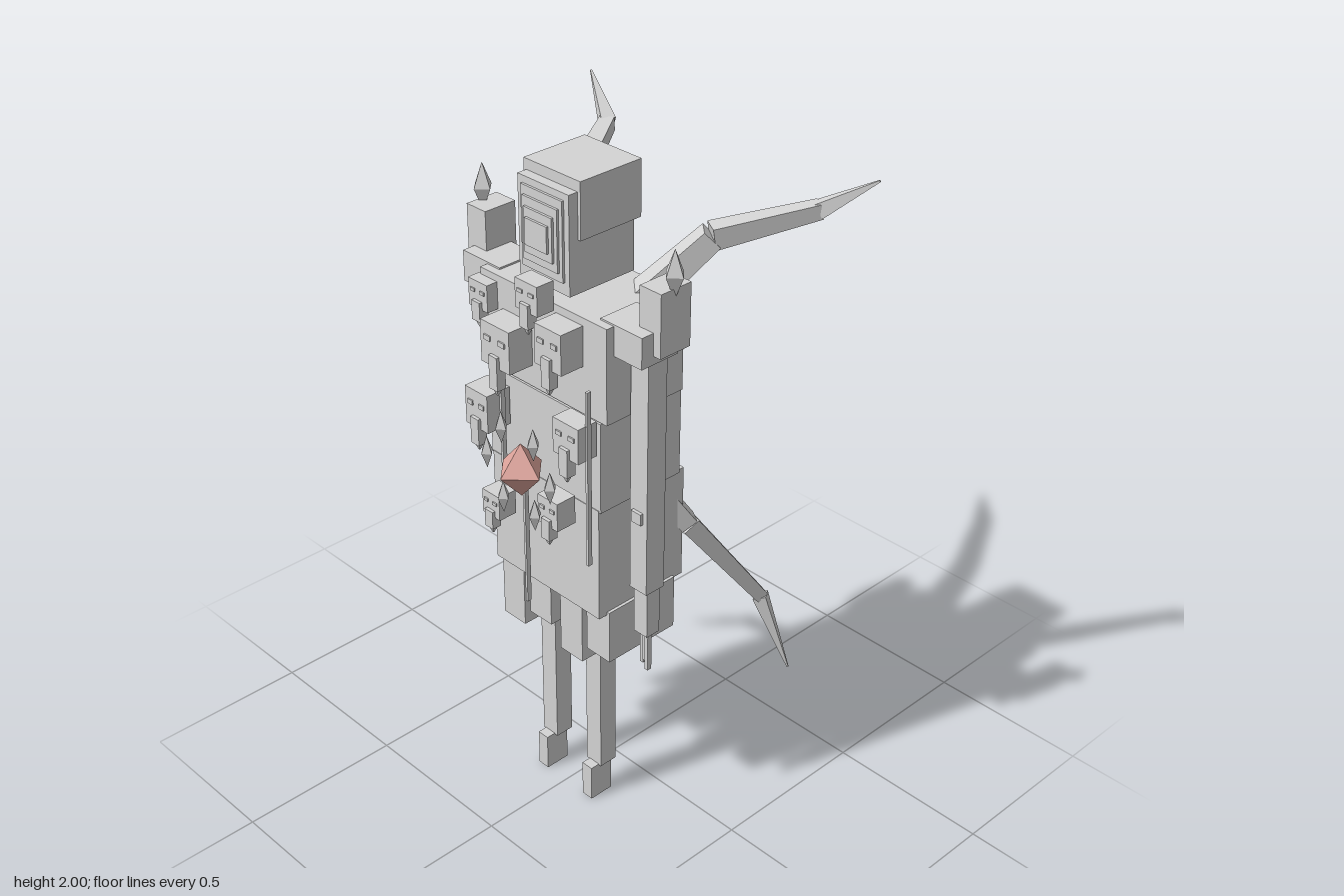
import * as THREE from 'three';

export function createModel() {
  const root = new THREE.Group();
  const stone = new THREE.MeshStandardMaterial({ color: 0xd4d4d4 });
  stone.name = 'pale stone grey';
  const pink = new THREE.MeshStandardMaterial({ color: 0xdfa59c });
  pink.name = 'gem pink';

  const add = (name, geo, mat = stone) => {
    const m = new THREE.Mesh(geo, mat);
    m.name = name;
    root.add(m);
    return m;
  };
  // Box from its limits on each axis
  const box = (name, x0, x1, y0, y1, z0, z1) =>
    add(name, new THREE.BoxGeometry(x1 - x0, y1 - y0, z1 - z0))
      .position.set((x0 + x1) / 2, (y0 + y1) / 2, (z0 + z1) / 2);
  // Mirrored pair of boxes
  const pair = (name, x0, x1, ...rest) => {
    box(name + 'Left', x0, x1, ...rest);
    box(name + 'Right', -x1, -x0, ...rest);
  };
  // Four-sided double pyramid
  const diamond = (name, x, y, z, r, h, mat) => {
    const m = add(name, new THREE.OctahedronGeometry(1), mat);
    m.scale.set(r, h, r);
    m.position.set(x, y, z);
  };
  // Tapered square bar between two points
  const bar = (name, a, b, w0, w1) => {
    const p = new THREE.Vector3(...a), q = new THREE.Vector3(...b);
    const g = new THREE.CylinderGeometry(w1 * Math.SQRT1_2, w0 * Math.SQRT1_2, p.distanceTo(q), 4, 1)
      .toNonIndexed().rotateY(Math.PI / 4).rotateX(Math.PI / 2);
    g.computeVertexNormals();
    const m = add(name, g);
    m.position.copy(p).add(q).multiplyScalar(0.5);
    m.lookAt(q);
  };

  // Head with hood and stepped mask
  box('hood', -0.105, 0.105, 1.84, 2.0, 0.005, 0.215);
  box('head', -0.095, 0.095, 1.69, 1.97, 0.02, 0.245);
  for (let i = 0; i < 4; i++) {
    const k = i * 0.012, z = 0.245 + i * 0.007;
    box('maskStep', -0.077 + k, 0.077 - k, 1.725 + i * 0.025, 1.95 - i * 0.025, z - 0.004, z + 0.007);
  }

  // Torso in three tiers
  box('chest', -0.242, 0.242, 1.38, 1.66, -0.018, 0.257);
  box('waist', -0.219, 0.219, 1.10, 1.375, -0.037, 0.258);
  box('robe', -0.213, 0.213, 0.75, 1.105, -0.06, 0.26);

  // Hanging skirt blocks
  [[-0.225, -0.135, 0.53], [-0.11, -0.02, 0.59], [0.02, 0.11, 0.53], [0.13, 0.222, 0.59]]
    .forEach(([x0, x1, y0]) => box('skirtBlock', x0, x1, y0, 0.76, -0.022, 0.23));

  // Legs and feet
  pair('leg', 0.066, 0.126, 0.115, 0.76, 0.115, 0.175);
  pair('foot', 0.078, 0.117, 0, 0.118, 0.125, 0.205);

  // Shoulders, candles and arms
  pair('shoulder', 0.193, 0.342, 1.575, 1.665, 0.105, 0.232);
  pair('candle', 0.292, 0.367, 1.6, 1.78, 0.087, 0.192);
  pair('arm', 0.247, 0.311, 0.84, 1.58, 0.11, 0.177);
  pair('armStud', 0.26, 0.296, 1.065, 1.1, 0.17, 0.187);
  pair('hand', 0.255, 0.306, 0.69, 0.845, 0.12, 0.168);
  for (let i = 0; i < 3; i++) {
    const x = 0.257 + i * 0.017;
    pair('finger', x, x + 0.012, 0.57 + (i % 2) * 0.02, 0.7, 0.13 + i * 0.008, 0.145 + i * 0.008);
  }

  // Flames and back limbs, mirrored
  for (const s of [1, -1]) {
    const side = s > 0 ? 'Left' : 'Right';
    diamond('flame' + side, s * 0.361, 1.815, 0.14, 0.031, 0.07);
    const limb = (name, pts, w) => {
      for (let i = 0; i < 3; i++) {
        const [a, b] = [pts[i], pts[i + 1]].map(([x, y, z]) => [s * x, y, z]);
        bar(name + side, a, b, w[i][0], w[i][1]);
      }
    };
    limb('upperTentacle',
      [[0.13, 1.62, 0.03], [0.25, 1.8, -0.105], [0.397, 1.845, -0.352], [0.532, 1.946, -0.416]],
      [[0.08, 0.06], [0.06, 0.042], [0.043, 0.005]]);
    limb('lowerTentacle',
      [[0.175, 1.0, -0.03], [0.21, 0.91, -0.085], [0.295, 0.59, -0.31], [0.372, 0.34, -0.362]],
      [[0.055, 0.052], [0.054, 0.038], [0.04, 0.005]]);
  }

  // Chest gem and its ring of small crystals
  diamond('gem', 0, 1.175, 0.343, 0.073, 0.082, pink);
  for (const s of [1, -1])
    for (const [x, y] of [[0.064, 1.285], [0.127, 1.18], [0.064, 1.065]])
      diamond('crystal', s * x, y, 0.354, 0.02, 0.05);

  // Small faces: x0, x1, y0, y1, z0, z1, bottom of the tongue
  [[-0.25, -0.175, 1.56, 1.64, 0.243, 0.293, 1.505],
    [-0.153, -0.04, 1.445, 1.57, 0.258, 0.338, 1.36],
    [-0.022, 0.062, 1.65, 1.735, 0.27, 0.327, 1.585],
    [0.055, 0.155, 1.52, 1.637, 0.255, 0.333, 1.445],
    [-0.22, -0.13, 1.23, 1.345, 0.265, 0.345, 1.16],
    [0.115, 0.212, 1.28, 1.385, 0.265, 0.33, 1.205],
    [-0.165, -0.095, 0.965, 1.04, 0.285, 0.345, 0.91],
    [0.055, 0.132, 1.035, 1.122, 0.27, 0.335, 0.975]].forEach(([x0, x1, y0, y1, z0, z1, t]) => {
    const cx = (x0 + x1) / 2, w = x1 - x0, h = y1 - y0;
    box('smallFace', x0, x1, y0, y1, z0, z1);
    box('tongue', cx - 0.016, cx + 0.016, t + 0.022, y0 + h * 0.3, z1 - 0.02, z1 + 0.01);
    bar('tongueTip', [cx, t + 0.022, z1 - 0.005], [cx, t, z1 - 0.005], 0.02, 0.004);
    for (const s of [1, -1]) {
      const ex = cx + s * w * 0.25;
      box('eye', ex - w * 0.11, ex + w * 0.11, y0 + h * 0.58, y0 + h * 0.7, z1 - 0.002, z1 + 0.004);
    }
  });

  // Thin hanging cords
  [[-0.04, 0.7, 1.1], [0.213, 0.95, 1.485], [-0.125, 1.1, 1.45]].forEach(([x, y0, y1]) =>
    box('cord', x - 0.004, x + 0.004, y0, y1, 0.288, 0.302));

  return root;
}
